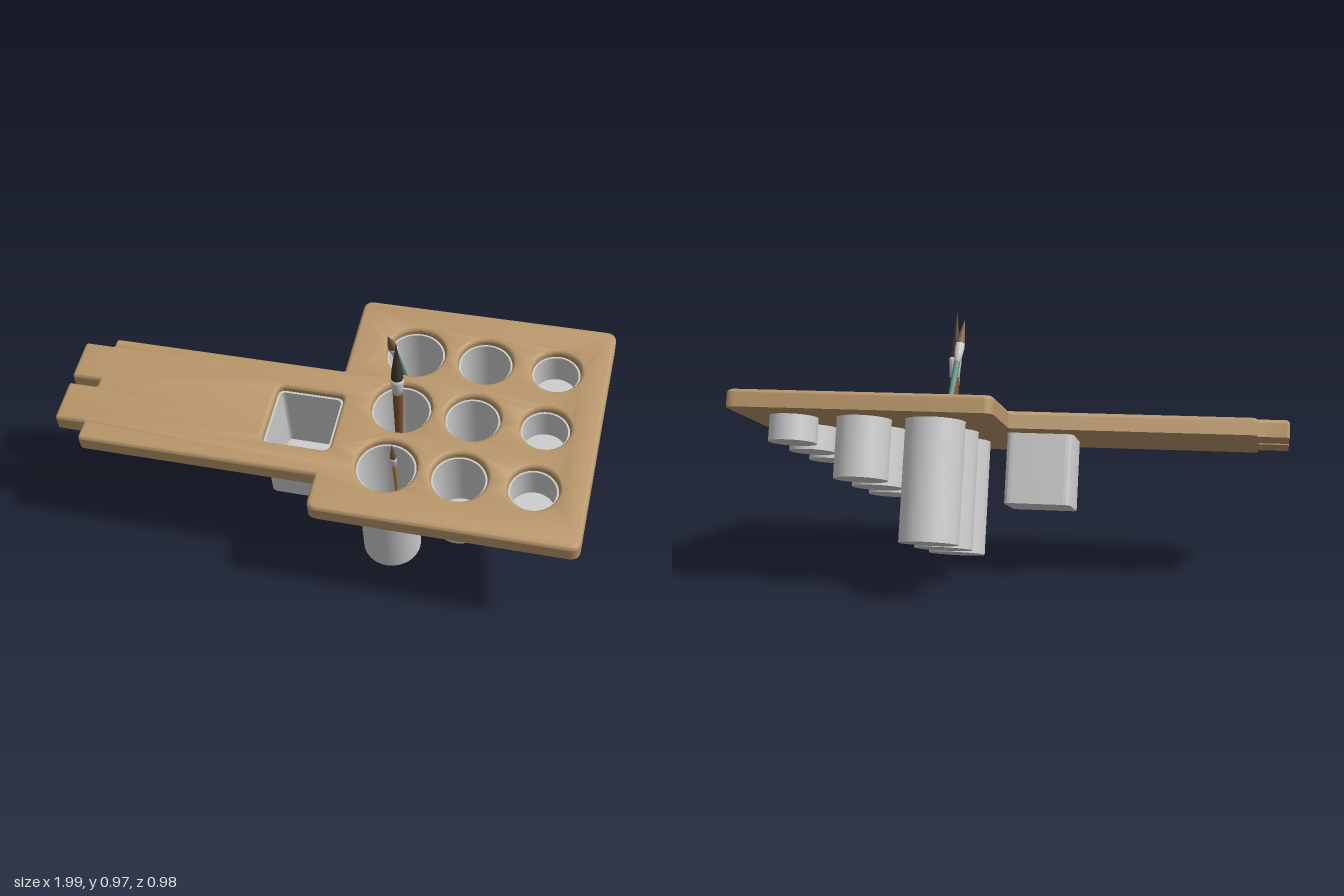
import * as THREE from 'three';
import { toCreasedNormals } from 'three/addons/utils/BufferGeometryUtils.js';

const mat = (color, side = THREE.FrontSide) => new THREE.MeshStandardMaterial({ color, side });
const wood = mat(0xb8966a);
const grey = mat(0xcccccc);
const cupGrey = mat(0xcccccc, THREE.DoubleSide);

const TILT = 0.322;
const THICK = 0.066;

function addMesh(parent, name, geometry, material) {
  const mesh = new THREE.Mesh(geometry, material);
  mesh.name = name;
  parent.add(mesh);
  return mesh;
}

// Closed outline through [x, z, cornerRadius] points; z is flipped so that it lies down correctly
function rounded(points, target) {
  const p = points.map(([x, z]) => new THREE.Vector2(x, -z));
  const n = p.length;
  p.forEach((c, i) => {
    const r = points[i][2];
    const a = p[(i + n - 1) % n].clone().sub(c).setLength(r).add(c);
    const b = p[(i + 1) % n].clone().sub(c).setLength(r).add(c);
    if (i === 0) target.moveTo(a.x, a.y);
    else target.lineTo(a.x, a.y);
    target.quadraticCurveTo(c.x, c.y, b.x, b.y);
  });
  target.closePath();
  return target;
}

const rect = (x0, x1, z0, z1, r, target) =>
  rounded([[x0, z1, r], [x1, z1, r], [x1, z0, r], [x0, z0, r]], target);

// Extrude a lying shape upwards from height y
function slab(shape, y, depth, options = {}) {
  const g = new THREE.ExtrudeGeometry(shape, { depth, bevelEnabled: false, curveSegments: 12, ...options });
  g.rotateX(-Math.PI / 2).translate(0, y, 0);
  return toCreasedNormals(g, 0.6);
}

// Cup columns: x, radius, floor height; and cup rows
const COLUMNS = [[0.265, 0.109, -0.478], [0.53, 0.1, -0.256], [0.795, 0.089, -0.128]];
const ROWS = [-0.267, -0.004, 0.26];

function boardShape() {
  const shape = rounded([
    [-1, 0.27, 0.015], [-0.885, 0.27, 0.005], [-0.885, 0.345, 0.015],
    [0.02, 0.345, 0.005], [0.02, 0.488, 0.04], [0.99, 0.488, 0.04],
    [0.99, -0.488, 0.04], [0.02, -0.488, 0.04], [0.02, -0.135, 0.005],
    [-0.885, -0.135, 0.015], [-0.885, -0.098, 0.005], [-1, -0.098, 0.015],
    [-1, 0.068, 0.012], [-0.89, 0.068, 0.005], [-0.89, 0.1, 0.005], [-1, 0.1, 0.012],
  ], new THREE.Shape());
  for (const [x, r] of COLUMNS) {
    for (const z of ROWS) {
      shape.holes.push(new THREE.Path().absarc(x, -z, r + 0.002, 0, Math.PI * 2, true));
    }
  }
  shape.holes.push(rect(-0.207, 0.047, -0.022, 0.232, 0.03, new THREE.Path()));
  return shape;
}

function cupGeometry(r, floor) {
  const w = 0.007, top = 0.006;
  const profile = [[0, floor], [r, floor], [r, top], [r - w, top], [r - w, floor + w], [0, floor + w]];
  const g = new THREE.LatheGeometry(profile.map(([x, y]) => new THREE.Vector2(x, y)), 40);
  return toCreasedNormals(g, 0.6);
}

// Brush running from its tip to the end of its handle
function brush(name, tip, end, s) {
  const group = new THREE.Group();
  group.name = name;
  const a = new THREE.Vector3(...tip), b = new THREE.Vector3(...end);
  const length = a.distanceTo(b);
  const lathe = (part, points, material) => addMesh(group, part,
    new THREE.LatheGeometry(points.map(([x, y]) => new THREE.Vector2(x, y)), 20), material);
  const f1 = length - s.bristle, f0 = f1 - s.ferrule;
  lathe('bristles', [[s.r, f1], [s.r * 0.9, f1 + s.bristle * 0.2], [s.r * 0.58, f1 + s.bristle * 0.5],
    [s.r * 0.25, f1 + s.bristle * 0.8], [0, length]], s.hair);
  lathe('ferrule', [[0, f0], [s.handle * 1.1, f0], [s.r * 0.95, f0 + s.ferrule * 0.45],
    [s.r * 1.08, f0 + s.ferrule * 0.75], [s.r, f1], [0, f1]], grey);
  lathe('handle', [[0, 0], [s.handle * 0.55, 0.004], [s.handle * 0.75, f0 * 0.4],
    [s.handle, f0 * 0.9], [s.handle, f0]], s.paint);
  group.position.copy(b);
  group.quaternion.setFromUnitVectors(new THREE.Vector3(0, 1, 0), a.sub(b).normalize());
  return group;
}

export function createModel() {
  const model = new THREE.Group();
  model.name = 'brushAndCupHolder';

  const tray = new THREE.Group();
  tray.name = 'tiltedTray';
  tray.position.set(0, 0.574, 0.018);
  tray.rotation.x = TILT;
  model.add(tray);

  // Board: square lower edge, rounded upper edge
  const shape = boardShape();
  const bevel = 0.016, split = THICK / 2 - bevel;
  addMesh(tray, 'boardBase', slab(shape, -THICK / 2, split + THICK / 2), wood);
  addMesh(tray, 'boardRoundedTop', slab(shape, split - 0.002, 0.002, {
    bevelEnabled: true, bevelThickness: bevel, bevelSize: bevel, bevelOffset: -bevel, bevelSegments: 4,
  }), wood);

  // Round cups, three depths by three rows
  for (const [x, r, floor] of COLUMNS) {
    const geometry = cupGeometry(r, floor);
    for (const z of ROWS) addMesh(tray, 'roundCup', geometry, cupGrey).position.set(x, 0, z);
  }

  // Square cup in the arm
  const floor = -0.298;
  const outer = () => rect(-0.205, 0.045, -0.02, 0.23, 0.028, new THREE.Shape());
  const wall = outer();
  wall.holes.push(rect(-0.197, 0.037, -0.012, 0.222, 0.022, new THREE.Path()));
  addMesh(tray, 'squareCupWall', slab(wall, floor, 0.304), cupGrey);
  addMesh(tray, 'squareCupFloor', slab(outer(), floor, 0.008), cupGrey);

  // Brushes leaning in the deepest cups
  model.add(
    brush('smallBrush', [0.325, 0.765, 0.475], [0.322, 0.25, 0.25],
      { bristle: 0.085, ferrule: 0.055, r: 0.011, handle: 0.0075, hair: mat(0x7a5a3a), paint: mat(0xb08040) }),
    brush('largeBrush', [0.27, 0.976, 0.182], [0.265, 0.31, 0.003],
      { bristle: 0.175, ferrule: 0.077, r: 0.022, handle: 0.018, hair: mat(0x40342c), paint: mat(0x80502f) }),
    brush('mediumBrush', [0.225, 0.955, 0.105], [0.255, 0.42, -0.305],
      { bristle: 0.105, ferrule: 0.078, r: 0.0165, handle: 0.0115, hair: mat(0x7a5f42), paint: mat(0x5f8f80) }),
  );
  return model;
}
